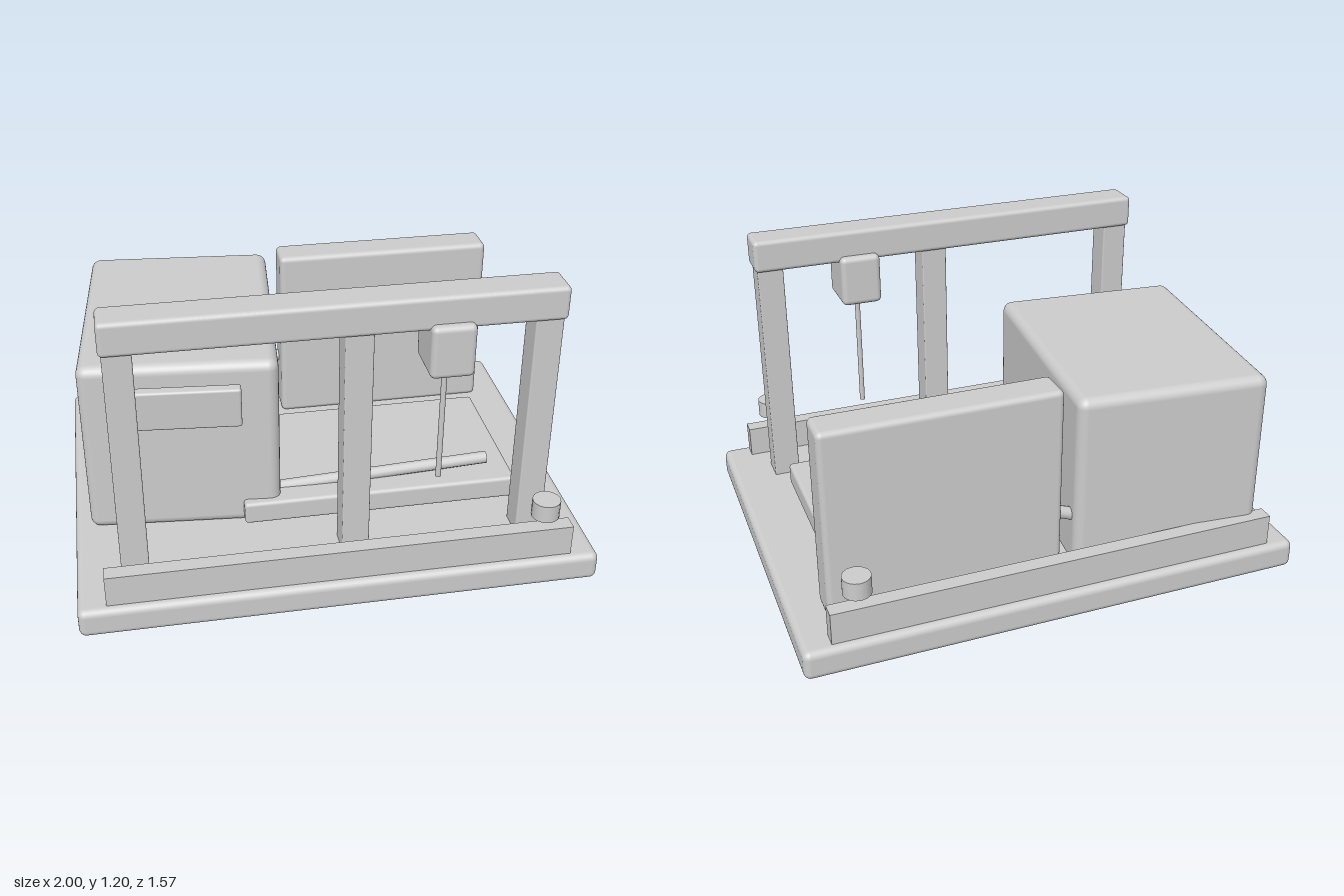
import * as THREE from 'three';
import { RoundedBoxGeometry } from 'three/addons/geometries/RoundedBoxGeometry.js';

export function createModel() {
  const model = new THREE.Group();
  model.name = 'gantryMachine';
  const grey = new THREE.MeshStandardMaterial({ color: 0xcccccc });
  grey.name = 'lightGrey';

  const add = (name, geometry, parent = model) => {
    const mesh = new THREE.Mesh(geometry, grey);
    mesh.name = name;
    parent.add(mesh);
    return mesh;
  };

  // Box given by its limits on each axis, with an optional edge radius
  const block = (name, [x0, x1], [y0, y1], [z0, z1], radius = 0, parent = model) => {
    const size = [x1 - x0, y1 - y0, z1 - z0];
    const geometry = radius
      ? new RoundedBoxGeometry(...size, 3, radius)
      : new THREE.BoxGeometry(...size);
    const mesh = add(name, geometry, parent);
    mesh.position.set((x0 + x1) / 2, (y0 + y1) / 2, (z0 + z1) / 2);
    return mesh;
  };

  // Cylinder between two points
  const rod = (name, from, to, radius, sides = 12) => {
    const a = new THREE.Vector3(...from), b = new THREE.Vector3(...to);
    const mesh = add(name, new THREE.CylinderGeometry(radius, radius, a.distanceTo(b), sides));
    mesh.position.copy(a).add(b).multiplyScalar(0.5);
    mesh.quaternion.setFromUnitVectors(new THREE.Vector3(0, 1, 0), b.sub(a).normalize());
    return mesh;
  };

  // Base plate and low work table
  block('basePlate', [-1, 1], [0, 0.118], [-0.785, 0.785], 0.028);
  block('workTable', [-0.33, 0.785], [0.13, 0.225], [-0.285, 0.373], 0.015);

  // Side rails with a floating knob above each
  for (const side of [-1, 1]) {
    const z = side * 0.724;
    block(side > 0 ? 'frontRail' : 'backRail', [-0.893, 0.89], [0.11, 0.245], [z - 0.031, z + 0.031]);
    rod(side > 0 ? 'frontKnob' : 'backKnob', [0.78, 0.295, z], [0.78, 0.367, z], 0.054, 16);
  }

  // Gantry: three posts, crossbar, carriage and probe
  for (const [name, x] of [['rightPost', -0.777], ['middlePost', 0.073], ['leftPost', 0.773]]) {
    block(name, [x - 0.053, x + 0.053], [0.11, 1.08], [0.478, 0.588], 0.006);
  }
  block('crossbar', [-0.84, 0.837], [1.065, 1.197], [0.46, 0.605], 0.018);
  block('carriage', [0.323, 0.49], [0.882, 1.092], [0.428, 0.638], 0.022);
  rod('probe', [0.405, 0.39, 0.533], [0.405, 0.95, 0.533], 0.011);

  // Upright back panel
  block('backPanel', [-0.052, 0.867], [0.115, 0.887], [-0.621, -0.471], 0.022);

  // Slightly turned cabinet with a tilted plate on its front
  const cabinet = new THREE.Group();
  cabinet.name = 'cabinet';
  cabinet.position.set(-0.517, 0, -0.185);
  cabinet.rotation.y = -0.087;
  model.add(cabinet);
  block('cabinetBody', [-0.38, 0.38], [0.115, 0.847], [-0.5, 0.5], 0.04, cabinet);
  const plate = block('cabinetPlate', [-0.175, 0.235], [0.602, 0.772], [0.512, 0.558], 0.01, cabinet);
  plate.rotation.x = 0.06;

  // Arm lying across the table and the link between cabinet and panel
  rod('tableArm', [-0.2, 0.216, 0.255], [0.687, 0.265, 0.264], 0.025);
  rod('panelLink', [-0.2, 0.308, -0.595], [0, 0.372, -0.575], 0.025);

  return model;
}
